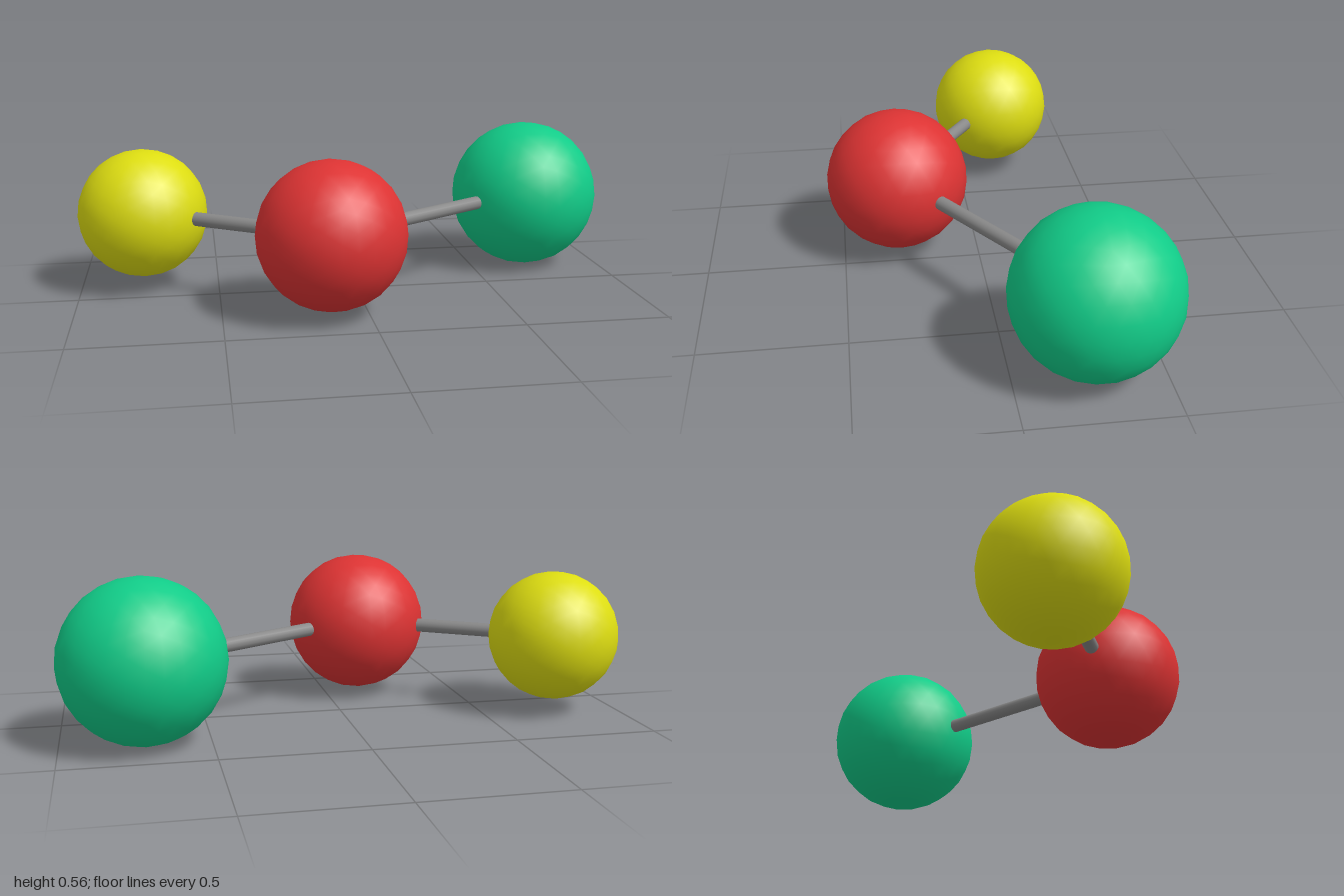
import * as THREE from 'three';

const BALLS = [
  { name: 'rightBall', position: [-0.767, 0.283, -0.147], radius: 0.234, color: 0xdddd11 },
  { name: 'centerBall', position: [-0.127, 0.283, 0.291], radius: 0.259, color: 0xdd3333 },
  { name: 'leftBall', position: [0.719, 0.283, -0.272], radius: 0.281, color: 0x11cc88 },
];
const ROD_RADIUS = 0.025;

function makeBall({ name, position, radius, color }) {
  const ball = new THREE.Mesh(
    new THREE.IcosahedronGeometry(radius, 4),
    new THREE.MeshStandardMaterial({ color })
  );
  ball.name = name;
  ball.position.set(...position);
  return ball;
}

// Cylinder running between the centres of two balls
function makeRod(name, from, to) {
  const direction = to.position.clone().sub(from.position);
  const rod = new THREE.Mesh(
    new THREE.CylinderGeometry(ROD_RADIUS, ROD_RADIUS, direction.length(), 16),
    new THREE.MeshStandardMaterial({ color: 0x888888 })
  );
  rod.name = name;
  rod.position.copy(from.position).add(to.position).multiplyScalar(0.5);
  rod.quaternion.setFromUnitVectors(new THREE.Vector3(0, 1, 0), direction.normalize());
  return rod;
}

export function createModel() {
  const model = new THREE.Group();
  model.name = 'bentMolecule';

  // Three balls in a bent chain
  const [right, center, left] = BALLS.map(makeBall);
  model.add(right, center, left);

  // Connecting rods
  model.add(makeRod('rightRod', right, center), makeRod('leftRod', center, left));
  return model;
}
